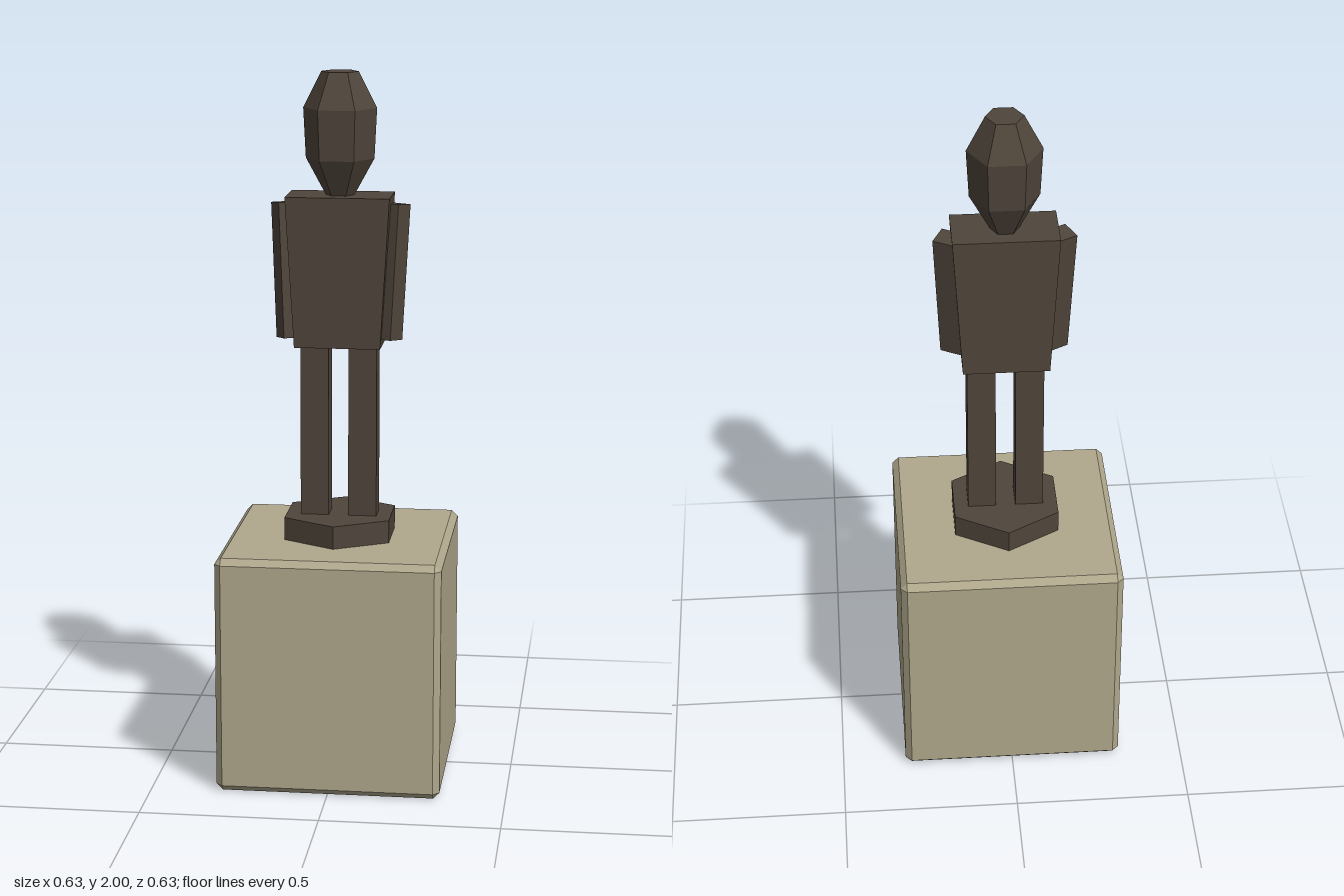
import * as THREE from 'three';

const bronze = new THREE.MeshStandardMaterial({ color: 0x4f453b, flatShading: true });
const stone = new THREE.MeshStandardMaterial({ color: 0xb0a88c, flatShading: true, side: THREE.DoubleSide });

function addPart(group, name, geometry, material, x = 0, y = 0, z = 0) {
  const mesh = new THREE.Mesh(geometry, material);
  mesh.name = name;
  mesh.position.set(x, y, z);
  group.add(mesh);
  return mesh;
}

// Eight-sided ring: a square of half-width h with its corners cut by c
function squareRing(h, c, y) {
  const k = h - c;
  return [[h, k], [k, h], [-k, h], [-h, k], [-h, -k], [-k, -h], [k, -h], [h, -k]]
    .map(([x, z]) => [x, y, z]);
}

// Chamfered block, closed on top and open underneath
function chamferedBlock(half, height, c) {
  const rings = [
    squareRing(half - c, 0, 0),
    squareRing(half, c, c),
    squareRing(half, c, height - c),
    squareRing(half - c, 0, height),
  ];
  const pos = [];
  const tri = (...pts) => pts.forEach((p) => pos.push(...p));
  for (let r = 0; r < 3; r++) {
    for (let i = 0; i < 8; i++) {
      const j = (i + 1) % 8;
      const a = rings[r][i], b = rings[r][j], d = rings[r + 1][i], e = rings[r + 1][j];
      // Skip the collapsed half of each corner triangle
      if (r > 0 || i % 2 === 1) tri(a, d, b);
      if (r < 2 || i % 2 === 1) tri(b, d, e);
      if (r === 0 && i % 2 === 0) tri(a, d, e);
    }
  }
  const [p, q, s, t] = [0, 2, 4, 6].map((i) => rings[3][i]);
  tri(p, s, q);
  tri(p, t, s);
  const geo = new THREE.BufferGeometry();
  geo.setAttribute('position', new THREE.Float32BufferAttribute(pos, 3));
  geo.computeVertexNormals();
  return geo;
}

// Box whose lower end is narrowed in x
function taperedBox(topWidth, bottomWidth, height, depth) {
  const geo = new THREE.BoxGeometry(topWidth, height, depth);
  const p = geo.attributes.position;
  for (let i = 0; i < p.count; i++) {
    if (p.getY(i) < 0) p.setX(i, p.getX(i) * bottomWidth / topWidth);
  }
  geo.computeVertexNormals();
  return geo;
}

export function createModel() {
  const model = new THREE.Group();
  model.name = 'statue';

  // Stone pedestal and hexagonal foot plate
  addPart(model, 'pedestal', chamferedBlock(0.316, 0.68, 0.018), stone);
  addPart(model, 'footPlate', new THREE.CylinderGeometry(0.172, 0.172, 0.065, 6), bronze, 0, 0.7125, 0);

  // Torso, narrower at the hips
  addPart(model, 'torso', taperedBox(0.292, 0.242, 0.423, 0.154), bronze, 0, 1.4465, 0);

  // Legs and arms, mirrored
  for (const [side, s] of [['left', 1], ['right', -1]]) {
    addPart(model, side + 'Leg', new THREE.BoxGeometry(0.08, 0.492, 0.08), bronze, s * 0.068, 0.99, 0);
    const arm = addPart(model, side + 'Arm', new THREE.BoxGeometry(0.07, 0.38, 0.06), bronze, s * 0.142, 1.446, 0.013);
    arm.rotation.set(-0.1, s * -0.5, 0, 'YXZ');
  }

  // Six-sided head tapering to the neck
  const profile = [[0, 1.65], [0.036, 1.65], [0.096, 1.76], [0.103, 1.9], [0.052, 2], [0, 2]]
    .map(([r, y]) => new THREE.Vector2(r, y));
  const head = addPart(model, 'head', new THREE.LatheGeometry(profile, 6), bronze);
  head.rotation.y = Math.PI / 6;

  return model;
}
